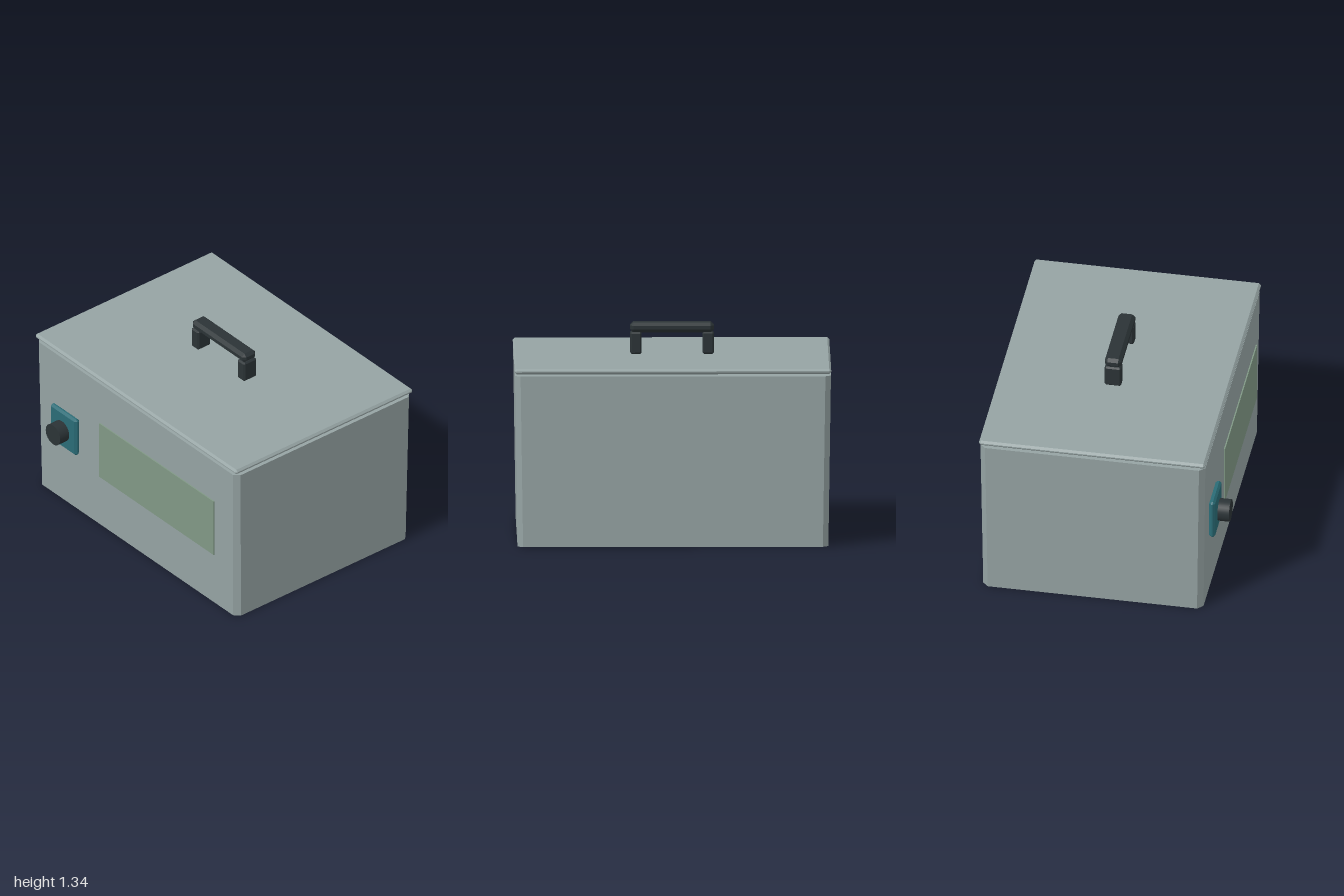
import * as THREE from 'three';
import { ConvexGeometry } from 'three/addons/geometries/ConvexGeometry.js';

const mat = (color) => new THREE.MeshStandardMaterial({ color });

// Box between two corners with every edge bevelled by c
function bevelBox([x0, y0, z0], [x1, y1, z1], c) {
  const half = [(x1 - x0) / 2, (y1 - y0) / 2, (z1 - z0) / 2];
  const points = [];
  for (const sx of [-1, 1]) for (const sy of [-1, 1]) for (const sz of [-1, 1]) {
    for (let full = 0; full < 3; full++) {
      const p = half.map((h, i) => (i === full ? h : h - c));
      points.push(new THREE.Vector3(p[0] * sx, p[1] * sy, p[2] * sz));
    }
  }
  return new ConvexGeometry(points).translate((x0 + x1) / 2, (y0 + y1) / 2, (z0 + z1) / 2);
}

// Slightly flared case with cut vertical corners
function flaredCase(levels, zMid, cut) {
  const points = [];
  for (const [y, hx, hz] of levels) {
    for (const sx of [-1, 1]) for (const sz of [-1, 1]) {
      points.push(
        new THREE.Vector3(sx * hx, y, zMid + sz * (hz - cut)),
        new THREE.Vector3(sx * (hx - cut), y, zMid + sz * hz),
      );
    }
  }
  return new ConvexGeometry(points);
}

export function createModel() {
  const model = new THREE.Group();
  model.name = 'lidded case';

  const shell = mat(0x95a3a3);
  const dark = mat(0x2b3336);
  const teal = mat(0x2a6c76);
  const green = mat(0x809885);

  const add = (name, geometry, material, parent = model) => {
    const mesh = new THREE.Mesh(geometry, material);
    mesh.name = name;
    parent.add(mesh);
    return mesh;
  };

  // Case and the lid floating just above it
  add('body', flaredCase([[0, 0.982, 0.707], [1.09, 0.998, 0.722]], -0.053, 0.035), shell);
  add('lid', bevelBox([-1, 1.103, -0.78], [1, 1.137, 0.673], 0.013), shell);

  // Carrying handle: two posts and a crossbar
  const handle = new THREE.Group();
  handle.name = 'handle';
  model.add(handle);
  for (const [side, x] of [['right', -0.228], ['left', 0.228]]) {
    add(`${side}HandlePost`, bevelBox([x - 0.036, 1.137, -0.106], [x + 0.036, 1.278, 0], 0.01), dark, handle);
  }
  add('handleBar', bevelBox([-0.264, 1.274, -0.107], [0.264, 1.338, 0.001], 0.02), dark, handle);

  // Front panel: thin window, control plate and knob
  const windowPane = add('window', new THREE.BoxGeometry(1.135, 0.408, 0.008), green);
  windowPane.position.set(0.223, 0.595, 0.68);

  add('controlPlate', bevelBox([-0.814, 0.438, 0.664], [-0.557, 0.712, 0.702], 0.014), teal);

  const knob = add('knob', new THREE.CylinderGeometry(0.072, 0.072, 0.074, 32).rotateX(Math.PI / 2), dark);
  knob.position.set(-0.685, 0.575, 0.745);

  return model;
}
